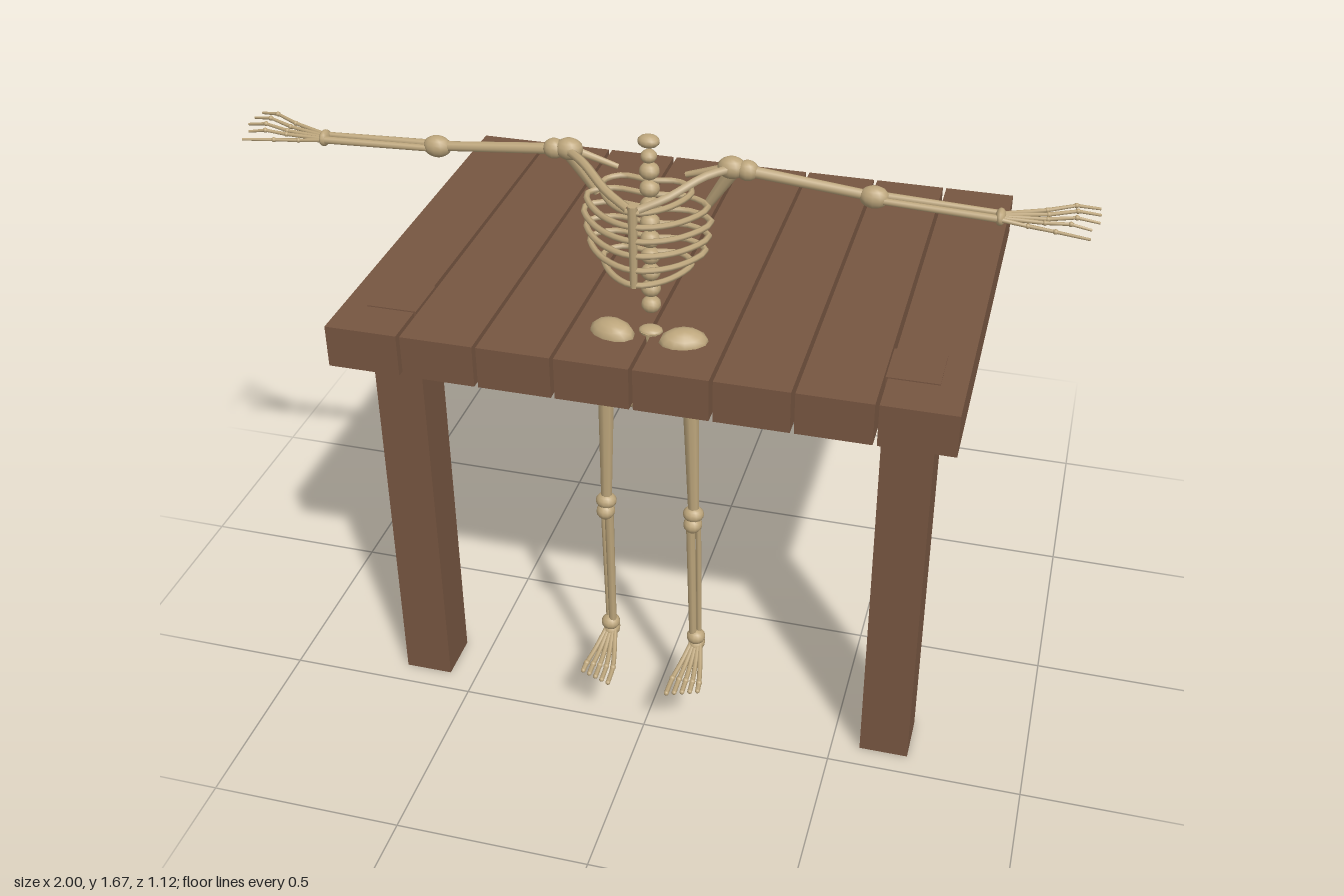
import * as THREE from 'three';

export function createModel() {
  const model = new THREE.Group();
  const wood = new THREE.MeshStandardMaterial({ color: 0x775641 });
  const bone = new THREE.MeshStandardMaterial({ color: 0xbda67c });
  wood.name = 'wood';
  bone.name = 'bone';
  const V = (p) => new THREE.Vector3(...p);

  const add = (name, geometry, material, parent = model) => {
    const mesh = new THREE.Mesh(geometry, material);
    mesh.name = name;
    parent.add(mesh);
    return mesh;
  };
  const box = (name, size, pos) => add(name, new THREE.BoxGeometry(...size), wood).position.set(...pos);
  // Ellipsoid joint
  const knob = (parent, name, pos, radii) => {
    const mesh = add(name, new THREE.SphereGeometry(1, 12, 8), bone, parent);
    mesh.position.set(...pos);
    mesh.scale.set(...radii);
    return mesh;
  };
  // Straight tapered shaft from a to b
  const shaft = (parent, name, a, b, ra, rb = ra) => {
    const dir = V(b).sub(V(a));
    const mesh = add(name, new THREE.CylinderGeometry(rb, ra, dir.length(), 8), bone, parent);
    mesh.position.copy(V(a)).addScaledVector(dir, 0.5);
    mesh.quaternion.setFromUnitVectors(new THREE.Vector3(0, 1, 0), dir.normalize());
    return mesh;
  };
  // Curved rod through points
  const rod = (parent, name, points, r, closed = false) => {
    const curve = new THREE.CatmullRomCurve3(points.map(V), closed);
    return add(name, new THREE.TubeGeometry(curve, closed ? 32 : 10, r, 6, closed), bone, parent);
  };

  // Table top planks and the two front posts
  for (let i = 0; i < 8; i++) box('plank', [0.182, 0.11, 1.11], [(i - 3.5) * 0.1915, 1.105, 0]);
  for (const s of [-1, 1]) box('post', [0.126, 1.163, 0.128], [s * 0.637, 0.5815, 0.376]);

  const skeleton = new THREE.Group();
  skeleton.name = 'skeleton';
  model.add(skeleton);

  // Spine
  for (let i = 0; i < 9; i++) knob(skeleton, 'vertebra', [0, 1.232 + i * 0.0435, 0.372], [0.024, 0.021, 0.024]);
  [[1.618, 0.019], [1.655, 0.026]].forEach(([y, r]) => knob(skeleton, 'neckVertebra', [0, y, 0.375], [r, 0.016, 0.021]));

  // Rib cage, widest near the middle
  [[1.555, 0.105], [1.52, 0.142], [1.484, 0.15], [1.447, 0.145], [1.41, 0.137], [1.372, 0.105]].forEach(([y, w]) => {
    const f = y - 0.012;
    rod(skeleton, 'rib', [
      [0, y, 0.368], [w * 0.65, y, 0.36], [w, y - 0.004, 0.392], [w * 0.65, f, 0.468],
      [0, f, 0.512], [-w * 0.65, f, 0.468], [-w, y - 0.004, 0.392], [-w * 0.65, y, 0.36],
    ], 0.0075, true);
  });
  shaft(skeleton, 'breastbone', [0, 1.355, 0.511], [0, 1.56, 0.511], 0.009, 0.012);

  // Sacrum and pubic joint
  shaft(skeleton, 'sacrum', [0, 1.06, 0.38], [0, 1.165, 0.38], 0.012, 0.026);
  knob(skeleton, 'sacrumTop', [0, 1.163, 0.378], [0.03, 0.012, 0.024]);
  knob(skeleton, 'pubicJoint', [0, 1.02, 0.47], [0.014, 0.014, 0.014]);

  for (const s of [-1, 1]) {
    const side = new THREE.Group();
    side.name = s > 0 ? 'leftLimbs' : 'rightLimbs';
    skeleton.add(side);
    const m = ([x, y, z]) => [s * x, y, z];

    // Shoulder girdle
    rod(side, 'collarbone', [[0.012, 1.55, 0.508], [0.07, 1.572, 0.478], [0.14, 1.605, 0.42], [0.2, 1.612, 0.37]].map(m), 0.0105);
    shaft(side, 'shoulderBlade', m([0.195, 1.605, 0.365]), m([0.13, 1.5, 0.352]), 0.018, 0.011);
    shaft(side, 'shoulderBladeSpine', m([0.195, 1.61, 0.362]), m([0.08, 1.57, 0.35]), 0.011, 0.007);
    knob(side, 'shoulder', m([0.19, 1.61, 0.368]), [0.033, 0.026, 0.027]);
    knob(side, 'upperArmHead', m([0.226, 1.607, 0.368]), [0.026, 0.024, 0.024]);

    // Arm
    shaft(side, 'upperArm', m([0.22, 1.607, 0.368]), m([0.5, 1.58, 0.368]), 0.014, 0.012);
    knob(side, 'elbow', m([0.512, 1.578, 0.368]), [0.034, 0.026, 0.025]);
    shaft(side, 'forearmBone', m([0.51, 1.58, 0.361]), m([0.795, 1.575, 0.369]), 0.01, 0.007);
    shaft(side, 'forearmBone', m([0.51, 1.575, 0.376]), m([0.795, 1.572, 0.392]), 0.008, 0.009);
    knob(side, 'wrist', m([0.79, 1.572, 0.38]), [0.012, 0.019, 0.024]);

    // Hand: each finger runs wrist, knuckle, joint, tip
    [
      [[0.885, 1.578, 0.335], [0.945, 1.582, 0.305], [0.997, 1.57, 0.284]],
      [[0.89, 1.577, 0.353], [0.95, 1.583, 0.333], [1.0, 1.572, 0.318]],
      [[0.89, 1.575, 0.372], [0.95, 1.58, 0.359], [1.0, 1.57, 0.352]],
      [[0.885, 1.573, 0.387], [0.94, 1.576, 0.385], [0.985, 1.566, 0.382]],
      [[0.85, 1.566, 0.397], [0.91, 1.564, 0.405], [0.985, 1.562, 0.418]],
    ].forEach((path, i) => {
      let from = [0.79, 1.573, 0.368 + i * 0.007];
      path.forEach((to, j) => {
        shaft(side, 'fingerBone', m(from), m(to), 0.0055 - j * 0.0008, 0.0045 - j * 0.0007);
        if (j < 2) knob(side, 'knuckle', m(to), [0.006, 0.006, 0.006]);
        from = to;
      });
    });

    // Pelvis: flared blade, then the bars under the seat
    knob(side, 'hipBlade', m([0.088, 1.158, 0.405]), [0.06, 0.036, 0.04]).rotation.set(0.25, s * 0.3, s * -0.1);
    shaft(side, 'hipBar', m([0.085, 1.15, 0.405]), m([0.1, 1.03, 0.42]), 0.03, 0.02);
    shaft(side, 'pubicBar', m([0.1, 1.05, 0.42]), m([0.045, 1.005, 0.47]), 0.016, 0.013);
    shaft(side, 'pubicBar', m([0.045, 1.005, 0.47]), m([0, 1.022, 0.468]), 0.013, 0.012);

    // Leg
    knob(side, 'hipJoint', m([0.105, 1.025, 0.41]), [0.027, 0.027, 0.025]);
    shaft(side, 'thigh', m([0.106, 1.02, 0.41]), m([0.114, 0.66, 0.41]), 0.021, 0.014);
    knob(side, 'kneeUpper', m([0.114, 0.663, 0.412]), [0.027, 0.021, 0.025]);
    knob(side, 'kneeLower', m([0.114, 0.635, 0.418]), [0.024, 0.022, 0.026]);
    shaft(side, 'shin', m([0.107, 0.64, 0.413]), m([0.11, 0.25, 0.4]), 0.012, 0.01);
    shaft(side, 'shin', m([0.125, 0.64, 0.405]), m([0.124, 0.25, 0.39]), 0.007, 0.007);
    knob(side, 'ankle', m([0.117, 0.25, 0.396]), [0.025, 0.021, 0.025]);
    knob(side, 'heel', m([0.117, 0.221, 0.388]), [0.022, 0.02, 0.028]);

    // Foot: five fanned toes
    for (let i = 0; i < 5; i++) {
      const k = i - 2;
      const tip = 0.555 - i * 0.007;
      rod(side, 'toe', [[0.117 + k * 0.006, 0.225, 0.4], [0.117 + k * 0.013, 0.198, 0.455], [0.117 + k * 0.018, 0.186, 0.505], [0.117 + k * 0.019, 0.181, tip]].map(m), 0.0065);
      knob(side, 'toeJoint', m([0.117 + k * 0.018, 0.187, 0.503]), [0.008, 0.008, 0.008]);
      knob(side, 'toeTip', m([0.117 + k * 0.019, 0.181, tip]), [0.0065, 0.0065, 0.0065]);
    }
  }
  return model;
}
